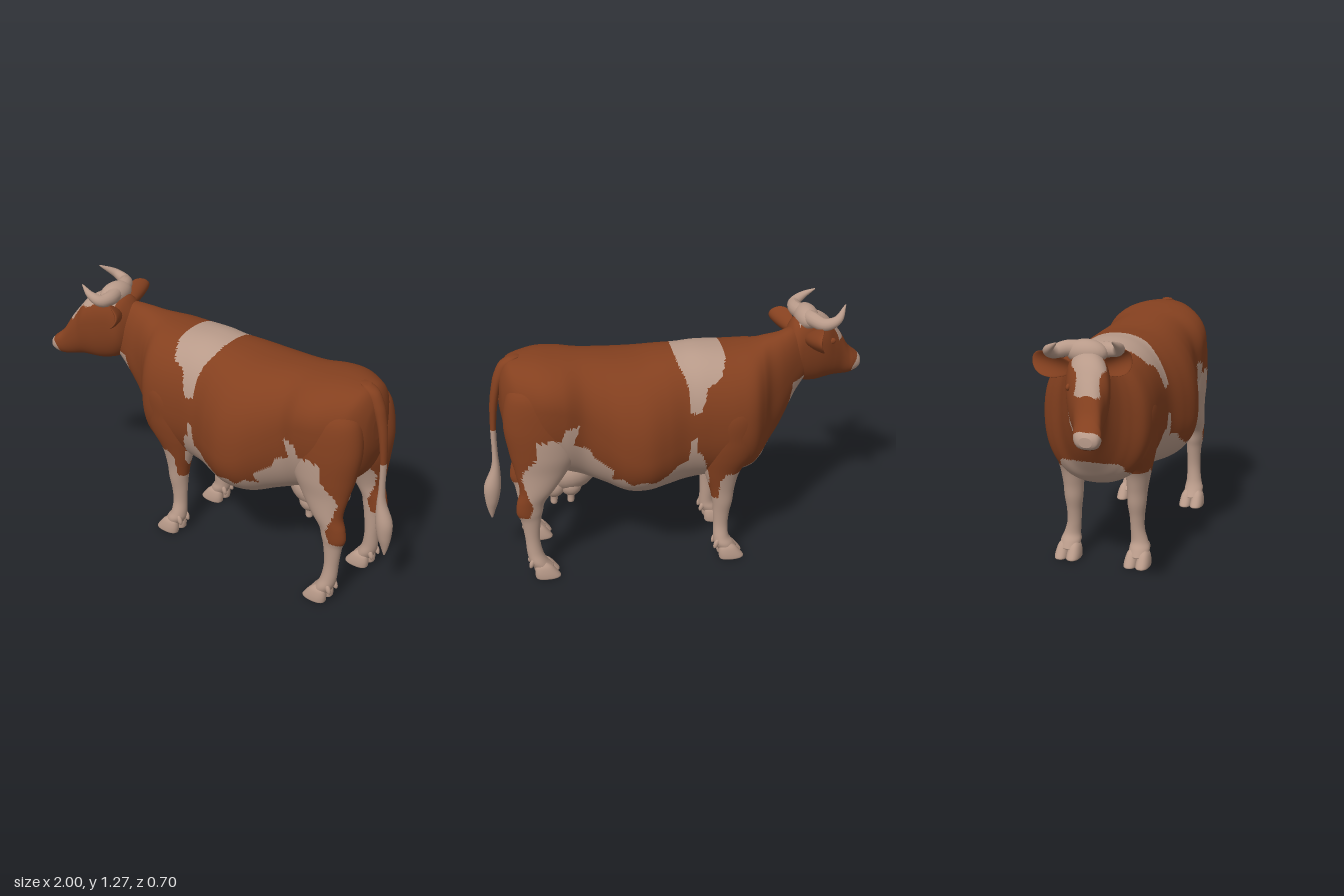
import * as THREE from 'three';

const brown = new THREE.MeshStandardMaterial({ color: 0x84401f });
brown.name = 'brown coat';
const pale = new THREE.MeshStandardMaterial({ color: 0xb89a89 });
pale.name = 'pale coat';

// Pale patches as side outlines (x, y)
const saddle = [[-.23, 1.2], [-.21, 1.1], [-.17, 1.03], [-.1, 1], [-.09, .95], [-.06, .88], [-.01, .89],
  [-.01, .98], [0, 1.04], [.03, 1.1], [.05, 1.2]];
const underside = [[-.62, .68], [-.5, .61], [-.4, .58], [-.36, .53], [-.28, .5], [-.25, .5], [-.2, .51], [-.17, .47],
  [-.165, .36], [-.12, .35], [-.12, .48], [-.09, .6], [-.07, .66], [-.045, .67], [-.04, .75], [-.01, .75], [0, .63],
  [.06, .62], [.1, .58], [.17, .54], [.24, .56], [.28, .53], [.33, .57], [.38, .55], [.37, .62], [.46, .68], [.48, .73],
  [.56, .77], [.53, .87], [.6, .86], [.62, .79], [.68, .8], [.74, .79], [.75, .7], [.81, .62], [.82, .58],
  [.8, .5], [.77, .42], [.79, .36], [.85, .35], [1, .35], [1, -.1], [-.62, -.1]];
const throat = [[-.7, .84], [-.66, .9], [-.58, .89], [-.565, .76], [-.62, .76]];
const muzzle = [[-1.1, .91], [-.98, .915], [-.945, .87], [-.94, .84], [-1.1, .83]];

function inside(poly, x, y) {
  let hit = false;
  for (let i = 0, j = poly.length - 1; i < poly.length; j = i++) {
    const [ax, ay] = poly[i], [bx, by] = poly[j];
    if ((ay > y) !== (by > y) && x < (bx - ax) * (y - ay) / (by - ay) + ax) hit = !hit;
  }
  return hit;
}
const coat = (x, y) => inside(saddle, x, y) || inside(underside, x, y) || inside(throat, x, y);
const trunk = (x, y) => coat(x, y) || (y < .51 && x > -.4);
const face = (x, y, z) => inside(muzzle, x, y) ||
  (x > -.88 && x < -.62 && y > 1.04 && Math.abs(z - .125 - (-.75 - x) * .3) < .07 + .015 * Math.sin(x * 40)) ||
  (y > 1.185 && x < -.62);

// Smooth loft through rows [t, low, high, zCentre, zHalf, widest = 0.5].
// Along 'x' rows go up in x and low/high are heights; along 'y' rows go down and low/high are x.
function loft(name, axis, rows, paint, steps, around, power = 1) {
  const full = rows.map(r => [...r, ...(r.length < 6 ? [.5] : [])]);
  const rings = [];
  for (let i = 0; i < full.length - 1; i++) {
    const p = [Math.max(i - 1, 0), i, i + 1, Math.min(i + 2, full.length - 1)].map(k => full[k]);
    for (let s = 0; s < steps + (i === full.length - 2 ? 1 : 0); s++) {
      const u = s / steps;
      rings.push(p[0].map((a, k) => {
        const b = p[1][k], c = p[2][k], d = p[3][k];
        return b + .5 * u * (c - a + u * (2 * a - 5 * b + 4 * c - d + u * (3 * (b - c) + d - a)));
      }));
    }
  }
  const pos = [], put = (t, v, z) => axis === 'x' ? pos.push(t, v, z) : pos.push(v, t, z);
  const curve = v => Math.sign(v) * Math.abs(v) ** power;
  for (const [t, lo, hi, zc, hz, w] of rings) {
    const mid = lo + (hi - lo) * w;
    for (let j = 0; j < around; j++) {
      const a = j / around * Math.PI * 2, s = curve(Math.sin(a));
      put(t, mid + s * (s > 0 ? hi - mid : mid - lo), zc + hz * curve(Math.cos(a)));
    }
  }
  const n = rings.length, first = n * around, tris = [];
  for (const r of [rings[0], rings[n - 1]]) put(r[0], (r[1] + r[2]) / 2, r[3]);
  for (let j = 0; j < around; j++) {
    const k = (j + 1) % around, e = (n - 1) * around;
    tris.push([first, j, k], [first + 1, e + k, e + j]);
    for (let i = 0; i < n - 1; i++) {
      const a = i * around, b = a + around;
      tris.push([a + j, b + j, b + k], [a + j, b + k, a + k]);
    }
  }
  // Sort the faces into the two coat colours
  const sets = [[], []];
  for (const t of tris) {
    const c = [0, 1, 2].map(k => (pos[t[0] * 3 + k] + pos[t[1] * 3 + k] + pos[t[2] * 3 + k]) / 3);
    sets[paint(...c) ? 1 : 0].push(...t);
  }
  const g = new THREE.BufferGeometry();
  g.setAttribute('position', new THREE.Float32BufferAttribute(pos, 3));
  g.setIndex([...sets[0], ...sets[1]]);
  g.addGroup(0, sets[0].length, 0);
  g.addGroup(sets[0].length, sets[1].length, 1);
  g.computeVertexNormals();
  const mesh = new THREE.Mesh(g, [brown, pale]);
  mesh.name = name;
  return mesh;
}

function ball(name, material, [x, y, z], [a, b, c], tilt = 0) {
  const mesh = new THREE.Mesh(new THREE.SphereGeometry(1, 24, 16), material);
  mesh.position.set(x, y, z);
  mesh.scale.set(a, b, c);
  mesh.rotation.z = tilt;
  mesh.name = name;
  return mesh;
}

// Tapered tube through a few points
function horn(name, points, radius) {
  const path = new THREE.CatmullRomCurve3(points.map(p => new THREE.Vector3(...p)));
  const g = new THREE.TubeGeometry(path, 32, radius, 16), p = g.attributes.position, v = new THREE.Vector3();
  for (let i = 0; i < p.count; i++) {
    const u = Math.floor(i / 17) / 32, c = path.getPointAt(u);
    v.fromBufferAttribute(p, i).sub(c).multiplyScalar(1 - .93 * u ** 2).add(c);
    p.setXYZ(i, v.x, v.y, v.z);
  }
  g.computeVertexNormals();
  const mesh = new THREE.Mesh(g, pale);
  mesh.name = name;
  return mesh;
}

// Cupped leaf from base to tip, opening forwards
function ear(name, base, tip) {
  const a = new THREE.Vector3(...base), b = new THREE.Vector3(...tip);
  const g = new THREE.SphereGeometry(1, 32, 20), p = g.attributes.position;
  for (let i = 0; i < p.count; i++) {
    const x = p.getX(i), y = p.getY(i) * (1 + .2 * x);
    p.setXYZ(i, x * a.distanceTo(b) / 2, y * .058, p.getZ(i) * .016 + .04 * y * y - .012);
  }
  const d = b.clone().sub(a).normalize(), n = new THREE.Vector3(-.9, -.1, .3);
  n.addScaledVector(d, -n.dot(d)).normalize();
  g.applyMatrix4(new THREE.Matrix4().makeBasis(d, n.clone().cross(d), n).setPosition(a.add(b).multiplyScalar(.5)));
  g.computeVertexNormals();
  const mesh = new THREE.Mesh(g, brown);
  mesh.name = name;
  return mesh;
}

export function createModel() {
  const cow = new THREE.Group();
  cow.name = 'cow';

  cow.add(loft('body', 'x', [
    [-.68, .89, 1.12, .075, .06], [-.6, .79, 1.155, .05, .085], [-.52, .65, 1.145, .02, .112, .5],
    [-.45, .55, 1.135, .01, .152], [-.4, .49, 1.125, 0, .205], [-.34, .455, 1.12, 0, .262],
    [-.25, .44, 1.12, 0, .278], [-.1, .43, 1.13, 0, .274], [0, .425, 1.125, 0, .285, .45],
    [.1, .415, 1.12, 0, .322, .42], [.2, .405, 1.115, 0, .349, .4], [.3, .41, 1.12, 0, .335, .42],
    [.4, .45, 1.13, 0, .29, .5], [.5, .49, 1.14, 0, .255, .6], [.6, .53, 1.15, 0, .27, .66],
    [.7, .58, 1.155, 0, .258, .65], [.8, .64, 1.145, 0, .205, .6], [.85, .7, 1.125, 0, .15, .6],
    [.88, .8, 1.07, 0, .095], [.89, .88, 1.0, 0, .04]], trunk, 11, 130, .88));

  cow.add(loft('head', 'x', [
    [-1, .85, .895, .2, .03], [-.985, .835, .915, .198, .054], [-.95, .82, .945, .19, .067],
    [-.92, .815, .98, .18, .066], [-.88, .82, 1.05, .165, .07], [-.83, .83, 1.12, .145, .086],
    [-.78, .83, 1.175, .13, .104, .6], [-.72, .83, 1.205, .11, .108, .6], [-.65, .85, 1.205, .085, .102, .6],
    [-.6, .9, 1.185, .07, .09], [-.565, .99, 1.13, .06, .045]], face, 9, 80, .9));
  cow.add(ball('leftEye', brown, [-.77, 1.06, .217], [.022, .017, .012]));
  cow.add(ball('rightEye', brown, [-.8, 1.06, .047], [.022, .017, .012]));

  // Poll and horns
  cow.add(ball('poll', pale, [-.67, 1.195, .085], [.06, .06, .1]));
  cow.add(horn('rightHorn', [[-.665, 1.205, .07], [-.685, 1.21, 0], [-.73, 1.2, -.05], [-.79, 1.22, -.055], [-.85, 1.272, .01]], .04));
  cow.add(horn('leftHorn', [[-.66, 1.205, .09], [-.635, 1.205, .17], [-.645, 1.21, .225], [-.69, 1.235, .245], [-.755, 1.272, .235]], .04));
  cow.add(ear('leftEar', [-.625, 1.1, .12], [-.53, 1.155, .255]));
  cow.add(ear('rightEar', [-.66, 1.1, .02], [-.69, 1.155, -.175]));

  for (const [side, s] of [['left', 1], ['right', -1]]) {
    cow.add(loft(side + 'FrontLeg', 'y', [
      [1, -.35, -.2, .15, .05], [.85, -.39, -.1, .18, .095], [.7, -.385, -.075, .18, .096], [.6, -.355, -.08, .18, .084],
      [.5, -.285, -.1, .175, .065], [.4, -.257, -.128, .17, .052], [.32, -.247, -.143, .168, .047],
      [.25, -.232, -.148, .168, .038], [.18, -.224, -.15, .17, .036], [.12, -.227, -.147, .18, .043],
      [.085, -.248, -.15, .184, .052], [.05, -.268, -.168, .185, .05]]
      .map(r => [r[0], r[1], r[2], r[3] * s, r[4]]), coat, 7, 44));
    cow.add(loft(side + 'HindLeg', 'y', [
      [1.08, .6, .8, .11, .07], [1, .55, .865, .125, .11], [.85, .49, .888, .135, .122], [.7, .52, .868, .148, .107],
      [.6, .58, .847, .165, .078], [.5, .655, .83, .18, .058], [.43, .707, .847, .18, .048], [.37, .722, .852, .178, .044],
      [.32, .733, .832, .175, .039], [.22, .743, .817, .175, .036], [.14, .733, .812, .18, .04],
      [.09, .712, .802, .184, .05], [.05, .68, .782, .185, .05]]
      .map(r => [r[0], r[1], r[2], r[3] * s, r[4]]), coat, 7, 44));

    // Cloven hooves with dewclaws behind
    for (const [leg, x] of [['Front', -.3], ['Hind', .65]]) {
      for (const o of [-1, 1]) {
        const z = .185 * s + o * .031;
        cow.add(loft(side + leg + 'Hoof', 'y', [[.085, x + .07, x + .11, z, .01], [.065, x + .042, x + .125, z, .025],
          [.035, x + .018, x + .13, z, .033], [.008, x, x + .128, z, .035], [0, x + .004, x + .125, z, .032]],
          () => true, 4, 24, .85));
        cow.add(ball(side + leg + 'Dewclaw', pale, [x + .143, .085, z * .95 + .00925 * s], [.013, .027, .012], .35));
      }
    }
    // Udder quarters and teats
    for (const x of [.565, .65]) {
      cow.add(ball(side + 'UdderQuarter', pale, [x, .44, .066 * s], [.055, .058, .052]));
      cow.add(loft(side + 'Teat', 'y', [[.42, x - .027, x + .027, .07 * s, .027], [.38, x - .017, x + .021, .072 * s, .02],
        [.352, x - .013, x + .021, .074 * s, .018], [.343, x - .004, x + .012, .074 * s, .008]], () => true, 4, 16));
    }
  }
  cow.add(ball('udder', pale, [.565, .51, 0], [.145, .115, .135], -.15));

  // Tail with a pale brush
  cow.add(loft('tail', 'y', [
    [1.15, .78, .83, 0, .025], [1.12, .8, .88, 0, .036], [1.06, .84, .91, 0, .036], [1, .875, .925, 0, .031],
    [.9, .9, .94, 0, .026], [.76, .915, .945, 0, .02], [.62, .915, .945, 0, .019], [.54, .91, .955, 0, .026],
    [.44, .91, .995, 0, .04], [.36, .925, .995, 0, .034], [.3, .945, .985, 0, .018], [.25, .962, .97, 0, .003]],
    (x, y) => y < .76, 5, 28));
  return cow;
}
